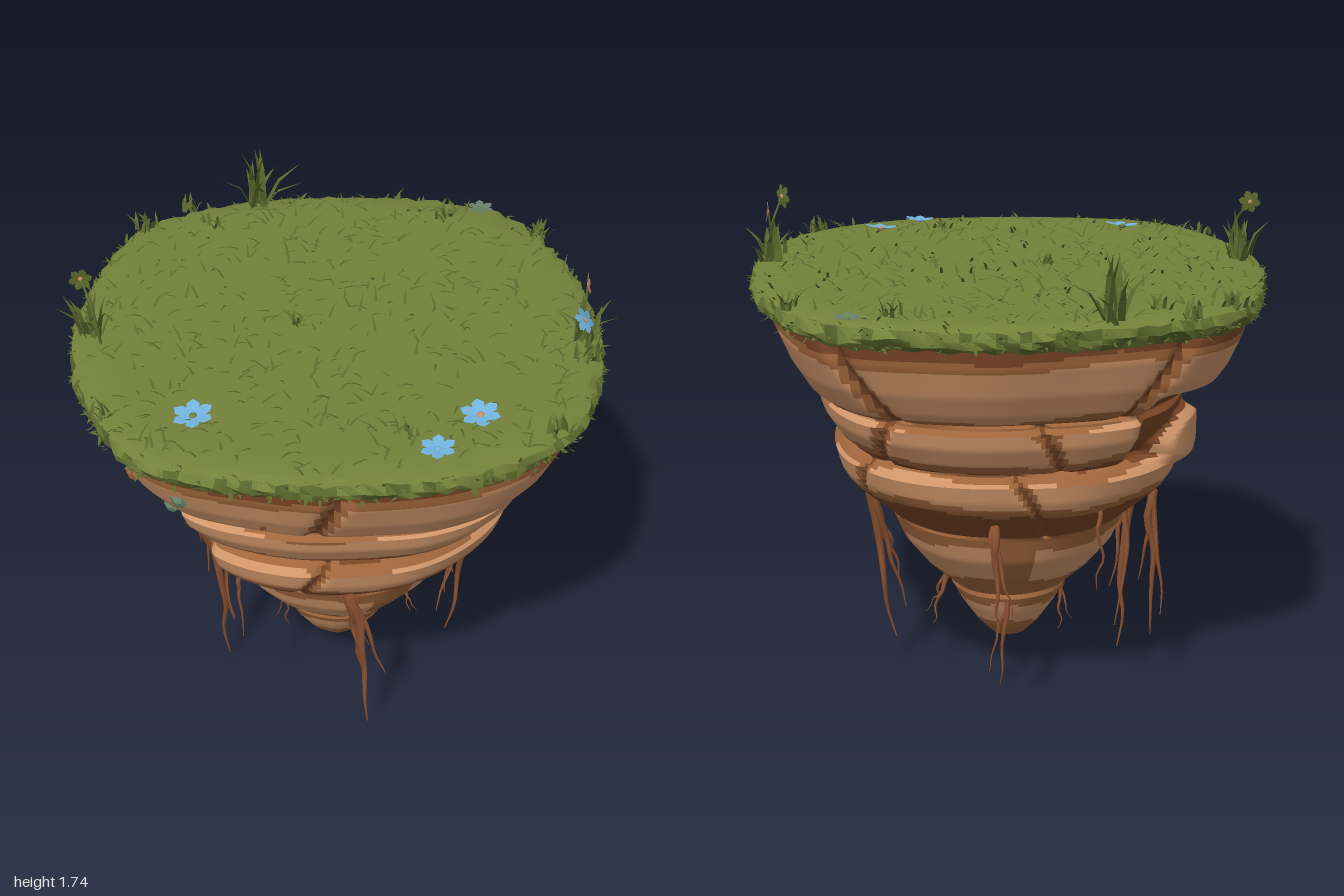
import * as THREE from 'three';
import { mergeGeometries, toCreasedNormals } from 'three/addons/utils/BufferGeometryUtils.js';

const TAU = Math.PI * 2, RAD = Math.PI / 180;
let seed = 7;
const rnd = (a = 0, b = 1) => {
  seed = (seed * 16807) % 2147483647;
  return a + (b - a) * seed / 2147483647;
};
const paint = (name, color, side = THREE.FrontSide) => {
  const m = new THREE.MeshStandardMaterial({ color, side });
  m.name = name;
  return m;
};
const smooth = THREE.MathUtils.smoothstep;
const wrap = (a) => Math.atan2(Math.sin(a), Math.cos(a));

// Plan outline: radius every 22.5 degrees, from +x towards +z
const RIM = [.955, .93, .885, .90, .97, .92, .895, .89, .95, .905, .87, .895, .96, .91, .885, .91];
function outline(t) {
  const u = (((t / TAU) % 1) + 1) % 1 * 16, i = Math.floor(u), f = u - i;
  const p = (k) => RIM[(i + k + 16) % 16];
  return p(0) + 0.5 * f * (p(1) - p(-1) + f * (2 * p(-1) - 5 * p(0) + 4 * p(1) - p(2) + f * (3 * (p(0) - p(1)) + p(2) - p(-1))));
}

// Rock profile: height, radius
const PROFILE = [[1.44, .88], [1.36, .865], [1.26, .82], [1.18, .765], [1.145, .72], [1.13, .68], [1.115, .68], [1.10, .705],
  [1.05, .69], [.98, .64], [.955, .61], [.94, .595], [.925, .61], [.90, .63], [.84, .61], [.80, .585], [.76, .545], [.70, .475],
  [.66, .43], [.64, .42], [.55, .38], [.45, .30], [.38, .225], [.36, .20], [.345, .205], [.28, .17], [.2, .115], [.15, .065], [.13, .001]];
// Strata: lower edge, bright band, cracks in degrees and their slant
const STRATA = [
  { low: 1.13, top: 1.355, bottom: 1.16, cracks: [57, 125, 200, 262, -38], slant: -.5 },
  { low: .94, top: 1.105, bottom: .985, cracks: [215, -85], slant: .8 },
  { low: .66, top: .915, bottom: .82, cracks: [69, 215, -62], slant: -1 },
  { low: .36, top: .60, bottom: .45, cracks: [20, 128, 230, -50], slant: 0 },
  { low: 0, top: .31, bottom: .23, cracks: [], slant: 0 }];
const layerAt = (y) => STRATA.findIndex((s) => y >= s.low - 1e-6);
const crackDistance = (s, y, t) => Math.min(9, ...s.cracks.map((c, i) => Math.abs(wrap(t - c * RAD - (i % 2 ? -1 : 1) * s.slant * (y - s.low)))));
function hollow(y, t) { // broken-away patch on the front and its left side
  const low = (1 - smooth(Math.abs(wrap(t - 115 * RAD)), .3, .44)) * smooth(y, .74, .8) * (1 - smooth(y, .93, .97));
  const top = 1.11 + .09 * smooth(t, 118 * RAD, 134 * RAD);
  const high = (1 - smooth(Math.abs(wrap(t - 145 * RAD)), .75, .9)) * smooth(y, .92, .96) * (1 - smooth(y, top - .01, top + .02));
  return Math.max(low, high);
}
const boulder = (y, t) => 1 - smooth(Math.hypot(wrap(t - 160 * RAD) / .42, (y - .965) / .105), .6, 1);

function rockRadius(y, t) {
  let i = 0;
  while (i < PROFILE.length - 2 && PROFILE[i + 1][0] > y) i++;
  const [y0, r0] = PROFILE[i], [y1, r1] = PROFILE[i + 1], k = layerAt(y), s = STRATA[k];
  let r = THREE.MathUtils.lerp(r0, r1, THREE.MathUtils.clamp((y0 - y) / (y0 - y1), 0, 1));
  r *= THREE.MathUtils.lerp(1, outline(t) / .93, smooth(y, .4, 1.3));
  r *= 1 + .01 * Math.sin(3 * t + k * 2) + .006 * Math.sin(8 * t + 5 * y);
  if (k < 3) r *= 1 - .035 * (1 - smooth(crackDistance(s, y, t), 0, .06));
  r *= 1 - .085 * hollow(y, t);
  return r + boulder(y, t) * Math.max(0, .665 - r);
}
function rockTone(y, t) {
  if (boulder(y, t) > .45) return 0;
  if (hollow(y, t) > .35) return y < .92 && y > .82 ? 1 : 2;
  const k = layerAt(y), s = STRATA[k], wave = .012 * Math.sin(4 * t + k) + .006 * Math.sin(9 * t + 2 * k);
  const gap = crackDistance(s, y, t);
  const band = Math.min(s.top + wave - y, y - s.bottom - wave);
  if (k < 3) return gap < .018 || band < -.035 ? 2 : gap < .05 || band < 0 ? 1 : 0;
  return Math.min(band, (gap - .2) * .4) > 0 ? 0 : 1;
}

// Closed skin of rings, with a material chosen for every quad
function skin(rows, cols, point, tone, tones) {
  const pos = [], lists = Array.from({ length: tones }, () => []);
  for (let i = 0; i < rows; i++) for (let j = 0; j < cols; j++) pos.push(...point(i, j / cols * TAU));
  for (let i = 0; i < rows - 1; i++) for (let j = 0; j < cols; j++) {
    const a = i * cols + j, b = i * cols + (j + 1) % cols, c = a + cols, d = b + cols;
    lists[tone(i, (j + .5) / cols * TAU)].push(a, b, c, b, d, c);
  }
  const g = new THREE.BufferGeometry();
  g.setAttribute('position', new THREE.Float32BufferAttribute(pos, 3));
  g.setIndex(lists.flat());
  let start = 0;
  lists.forEach((l, m) => { g.addGroup(start, l.length, m); start += l.length; });
  return toCreasedNormals(g, 32 * RAD);
}

// Curved grass blade of three triangles
function blade(out, x, y, z, dir, lean, len, w) {
  const c = Math.cos(dir), s = Math.sin(dir);
  const at = (h, l, side) => [x + c * l - s * side, y + h, z + s * l + c * side];
  const h = len * Math.cos(lean), l = len * Math.sin(lean);
  const a = at(0, 0, -w), b = at(0, 0, w), m = at(h * .65, l * .4, -w * .8), n = at(h * .65, l * .4, w * .8), tip = at(h, l, 0);
  out.push(...a, ...b, ...n, ...a, ...n, ...m, ...m, ...n, ...tip);
}
function bladeMesh(name, pos, mat) {
  const g = new THREE.BufferGeometry();
  g.setAttribute('position', new THREE.Float32BufferAttribute(pos, 3));
  g.computeVertexNormals();
  const m = new THREE.Mesh(g, mat);
  m.name = name;
  return m;
}

// Tube that thins towards its end
function taper(points, r, end = .12) {
  const curve = new THREE.CatmullRomCurve3(points.map((p) => new THREE.Vector3(...p)));
  const n = 14, sides = 5, g = new THREE.TubeGeometry(curve, n, r, sides), p = g.attributes.position, v = new THREE.Vector3();
  for (let i = 0; i < p.count; i++) {
    const u = Math.floor(i / (sides + 1)) / n, c = curve.getPointAt(u);
    v.fromBufferAttribute(p, i).sub(c).multiplyScalar(1 - (1 - end) * u).add(c);
    p.setXYZ(i, v.x, v.y, v.z);
  }
  g.computeVertexNormals();
  return g;
}

export function createModel() {
  const group = new THREE.Group();
  const light = paint('light rock', 0xd0966a), mid = paint('brown rock', 0xa0663c), dark = paint('dark rock', 0x7a4526);
  const grass = paint('grass', 0x74813a), blades = paint('dark grass', 0x5c692c, THREE.DoubleSide);
  const rootMat = paint('root', 0x8c5231), stoneMat = paint('mossy stone', 0x67806a);
  const blue = paint('blue petal', 0x72b4de), peach = paint('peach petal', 0xcf9263);
  const add = (name, geo, mat, parent = group) => {
    const m = new THREE.Mesh(geo, mat);
    m.name = name;
    parent.add(m);
    return m;
  };

  // Layered rock
  const ys = [];
  PROFILE.forEach(([y], i) => {
    const next = PROFILE[i + 1];
    const n = next ? Math.ceil((y - next[0]) / .014) : 1;
    for (let k = 0; k < n; k++) ys.push(next ? y + (next[0] - y) * k / n : y);
  });
  add('rock', skin(ys.length, 240, (i, t) => {
    const r = rockRadius(ys[i], t);
    return [r * Math.cos(t), ys[i], r * Math.sin(t)];
  }, (i, t) => rockTone((ys[i] + ys[i + 1]) / 2, t), 3), [light, mid, dark]);

  // Turf cap with a lumpy rim
  const cap = [[.001, 1.512], [.3, 1.511], [.6, 1.511], [.85, 1.511], [.96, 1.51], [.99, 1.497], [1.0, 1.47], [.99, 1.445], [.96, 1.425], [.88, 1.43]];
  add('turf', skin(cap.length, 150, (i, t) => {
    const rim = i > 4 ? 1 : 0, r = cap[i][0] * outline(t) + rim * rnd(-.01, .01);
    return [r * Math.cos(t), cap[i][1] + rim * rnd(-.006, .006), r * Math.sin(t)];
  }, (i) => (i > 4 && rnd() < .4 ? 1 : 0), 2), [grass, blades]);

  // Short grass on top and around the rim
  const lawn = [], fringe = [], tufts = [];
  for (let i = 0; i < 560; i++) {
    const t = rnd(0, TAU), r = Math.sqrt(rnd()) * .96 * outline(t);
    blade(lawn, r * Math.cos(t), 1.508, r * Math.sin(t), rnd(0, TAU), rnd(1, 1.45), rnd(.04, .085), .005);
  }
  for (let i = 0; i < 800; i++) {
    const t = rnd(0, TAU), r = outline(t) * rnd(.965, .995);
    blade(fringe, r * Math.cos(t), rnd(1.435, 1.5), r * Math.sin(t), t + rnd(-1.4, 1.4), rnd(.5, 2.4), rnd(.02, .04), .006);
  }
  // Tall tufts: x, z, height, blade count
  [[-.72, -.42, .22, 16], [-.58, .58, .18, 18], [.70, -.44, .17, 16], [.2, -.90, .07, 14], [-.93, -.03, .07, 14], [-.14, -.78, .07, 10],
    [-.9, -.24, .07, 10], [.93, .04, .07, 12], [-.24, .88, .07, 8], [.77, -.36, .10, 10], [-.1, .1, .05, 8], [-.76, -.2, .06, 8], [.58, .34, .05, 8]]
    .forEach(([x, z, h, n]) => {
      for (let i = 0; i < n; i++) {
        blade(tufts, x + rnd(-.03, .03), 1.505, z + rnd(-.03, .03), i / n * TAU + rnd(-.3, .3), rnd(.1, .9), h * rnd(.55, 1.05), .005 + h * .035);
      }
    });
  group.add(bladeMesh('lawnBlades', lawn, blades), bladeMesh('rimBlades', fringe, blades), bladeMesh('grassTufts', tufts, blades));

  // Flowers: pointed petals with their own reverse colour, around a small centre
  const petal = new THREE.Shape().moveTo(0, 0).lineTo(.32, .27).lineTo(.75, .3).lineTo(1, 0).lineTo(.75, -.3).lineTo(.32, -.27);
  const whorl = () => mergeGeometries(Array.from({ length: 6 }, (_, i) => new THREE.ShapeGeometry(petal).rotateY(-.15).rotateZ(i * TAU / 6 + .2)));
  function flower(x, y, z, size, face, reverse, centre, tiltX, tiltY) {
    const f = new THREE.Group();
    f.name = 'flower';
    add('petals', whorl().scale(size, size, size), face, f);
    const back = whorl().scale(size, size, size);
    const index = back.index.array;
    for (let i = 0; i < index.length; i += 3) [index[i], index[i + 1]] = [index[i + 1], index[i]];
    back.computeVertexNormals();
    add('petalBacks', back.translate(0, 0, -.002), reverse, f);
    add('flowerCentre', new THREE.SphereGeometry(size * .2, 8, 6).scale(1, 1, .6), centre, f);
    f.position.set(x, y, z);
    f.rotation.set(tiltX, tiltY, 0, 'YXZ');
    group.add(f);
  }
  flower(.01, 1.53, .72, .07, blue, blue, grass, -1.45, 0);
  flower(.70, 1.53, .14, .068, blue, blue, peach, -1.45, .1);
  flower(.70, 1.525, .36, .06, blue, blue, blue, -1.5, -.1);
  flower(-.07, 1.518, -.91, .05, stoneMat, stoneMat, grass, -1.57, 0);
  flower(.79, 1.705, -.29, .046, blue, blades, peach, 0, -.25);
  flower(.67, 1.695, -.485, .041, blue, peach, peach, -.1, 2.3);
  flower(-.615, 1.715, .58, .041, blades, blades, peach, 0, .8);
  [[[.72, 1.5, -.42], [.78, 1.6, -.36], [.79, 1.7, -.295]], [[.70, 1.5, -.43], [.69, 1.6, -.45], [.67, 1.69, -.483]],
    [[-.52, 1.5, .60], [-.55, 1.64, .60], [-.615, 1.71, .578]]].forEach((p) => add('flowerStem', taper(p, .006, .6), blades));

  // Hanging roots: x, top, z, bottom, thickness, strands, foot x and z
  [[.35, .76, .35, .09, .023, 4, .39, .28], [.35, .75, -.34, .12, .023, 4, .33, -.27], [-.28, .72, -.45, .37, .016, 2, -.31, -.46],
    [-.29, .70, .36, .04, .022, 3, -.28, .30], [-.51, .79, .14, .21, .02, 3, -.53, .15], [.05, .82, .58, .53, .011, 1, .05, .58],
    [-.11, .38, -.16, .01, .013, 2, -.10, -.17], [.18, .37, .1, .14, .011, 2, .19, .1], [-.14, .36, .13, .14, .011, 2, -.14, .13],
    [.17, .37, -.17, .18, .011, 2, .19, -.2], [-.53, .8, -.2, .5, .011, 1, -.54, -.2]]
    .forEach(([x, top, z, low, r, n, fx, fz]) => {
      const strands = [];
      for (let k = 0; k < n; k++) {
        const end = low + k * (top - low) * .17, turn = rnd(0, TAU), spread = k ? .05 : 0, pts = [[x * .9, top + .02, z * .9]];
        for (let i = 0; i <= 5; i++) {
          const u = i / 5, j = .013;
          pts.push([x + (fx - x + Math.cos(turn) * spread) * u + rnd(-j, j), top - .03 + (end - top + .03) * u,
            z + (fz - z + Math.sin(turn) * spread) * u + rnd(-j, j)]);
        }
        strands.push(taper(pts, r * (k ? .75 : 1)));
      }
      add('root', mergeGeometries(strands), rootMat);
    });

  // Stones set in the front face: x, y, size, material
  [[-.41, 1.05, .042, stoneMat], [-.18, .93, .048, stoneMat], [-.19, .6, .046, stoneMat], [-.66, 1.25, .026, stoneMat], [.06, 1.3, .032, stoneMat],
    [-.03, 1.2, .028, stoneMat], [-.15, 1.3, .034, mid], [.28, 1.21, .014, dark], [-.32, 1.22, .018, dark], [-.36, .88, .02, dark]]
    .forEach(([x, y, s, mat]) => {
      let t = Math.PI / 2;
      for (let i = 0; i < 8; i++) t = Math.acos(x / rockRadius(y, t));
      const stone = add('stone', toCreasedNormals(new THREE.DodecahedronGeometry(s).scale(1, .8, .6), .3), mat);
      stone.position.set(x, y, rockRadius(y, t) * Math.sin(t));
      stone.rotation.set(.3, Math.PI / 2 - t, rnd(-.6, .6));
    });
  return group;
}
